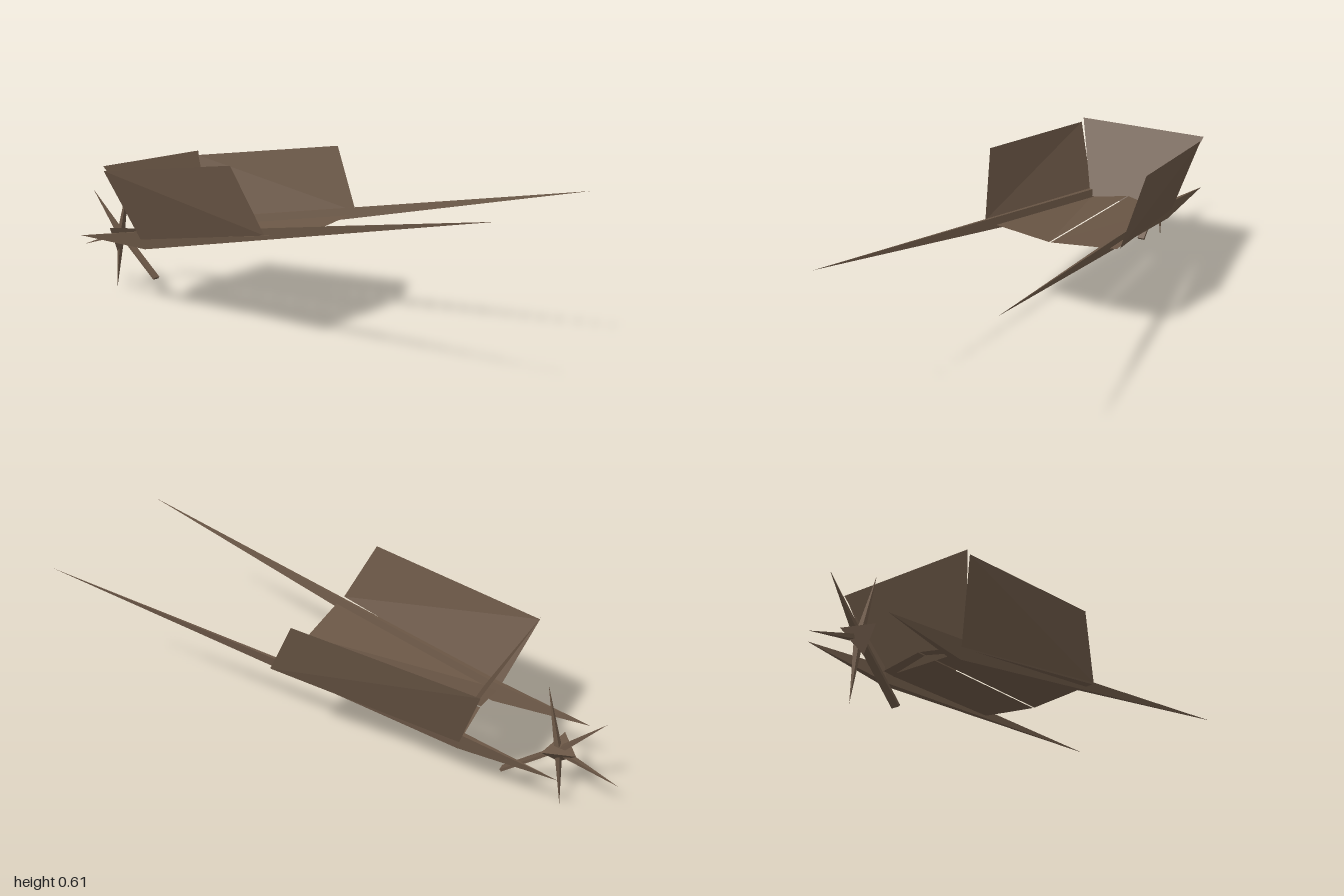
import * as THREE from 'three';

const wood = new THREE.MeshStandardMaterial({ color: 0x6b5746, side: THREE.DoubleSide, flatShading: true });
wood.name = 'weatheredWood';

// Flat-shaded mesh from a list of corner triples
function facets(name, triangles) {
  const geometry = new THREE.BufferGeometry();
  geometry.setAttribute('position', new THREE.Float32BufferAttribute(triangles.flat(2), 3));
  geometry.computeVertexNormals();
  const mesh = new THREE.Mesh(geometry, wood);
  mesh.name = name;
  return mesh;
}

const plank = (name, a, b, c, d) => facets(name, [[a, b, c], [a, c, d]]);

// Ring of corners drawn out to a point at each end
function spindle(name, tipA, ring, tipB) {
  const triangles = [];
  ring.forEach((p, i) => {
    const q = ring[(i + 1) % ring.length];
    triangles.push([tipA, p, q], [tipB, q, p]);
  });
  return facets(name, triangles);
}

export function createModel() {
  const model = new THREE.Group();
  model.name = 'brokenWheelbarrow';

  for (const s of [1, -1]) {
    const side = s > 0 ? 'left' : 'right';
    // Floor half, with a narrow gap along the middle
    model.add(plank(side + 'Floor',
      [s * 0.003, 0.365, 0.153], [s * 0.246, 0.39, 0.15],
      [s * 0.158, 0.273, -0.51], [s * 0.003, 0.302, -0.51]));
    // Flared side board
    model.add(plank(side + 'SideBoard',
      [s * 0.255, 0.392, 0.145], [s * 0.168, 0.272, -0.51],
      [s > 0 ? 0.238 : -0.258, 0.527, -0.597], [s * 0.294, 0.613, 0.035]));
    // Long tapering handle pole
    model.add(spindle(side + 'Handle', [s * 0.301, 0.556, 1],
      [[s * 0.133, 0.235, -0.5], [s * 0.157, 0.235, -0.5], [s * 0.165, 0.302, -0.5], [s * 0.147, 0.302, -0.5]],
      [s * 0.156, 0.24, -0.845]));
  }

  // Leaning back board
  model.add(plank('backBoard',
    [-0.153, 0.283, -0.465], [0.153, 0.283, -0.465], [0.247, 0.543, -0.603], [-0.253, 0.543, -0.603]));

  // Splintered hub
  const wheel = new THREE.Group();
  wheel.name = 'brokenWheel';
  const a = [-0.061, 0.26, -0.787], b = [0.016, 0.238, -0.855], c = [0.058, 0.244, -0.75], d = [-0.022, 0.165, -0.79];
  wheel.add(facets('hub', [[a, c, b], [a, d, c], [c, d, b], [b, d, a]]));

  // Pointed spokes fanning out around the hub
  const hubY = 0.228, hubZ = -0.79;
  for (const [y, z] of [[0.47, -0.73], [0.387, -0.935], [0.157, -1], [0.003, -0.817]]) {
    const length = Math.hypot(y - hubY, z - hubZ);
    const ny = -(z - hubZ) / length * 0.009, nz = (y - hubY) / length * 0.009;
    wheel.add(spindle('spoke', [-0.003, y, z],
      [[-0.012, hubY + ny, hubZ + nz], [0.012, hubY + ny, hubZ + nz],
        [0.012, hubY - ny, hubZ - nz], [-0.012, hubY - ny, hubZ - nz]],
      [0, hubY, hubZ]));
  }

  // Blunt snapped spoke
  const start = new THREE.Vector3(0.001, 0.23, -0.785), end = new THREE.Vector3(0.003, 0.077, -0.605);
  const stub = new THREE.Mesh(new THREE.BoxGeometry(0.027, 0.01, start.distanceTo(end)), wood);
  stub.name = 'snappedSpoke';
  stub.position.copy(start).lerp(end, 0.5);
  stub.lookAt(end);
  wheel.add(stub);
  model.add(wheel);

  return model;
}
